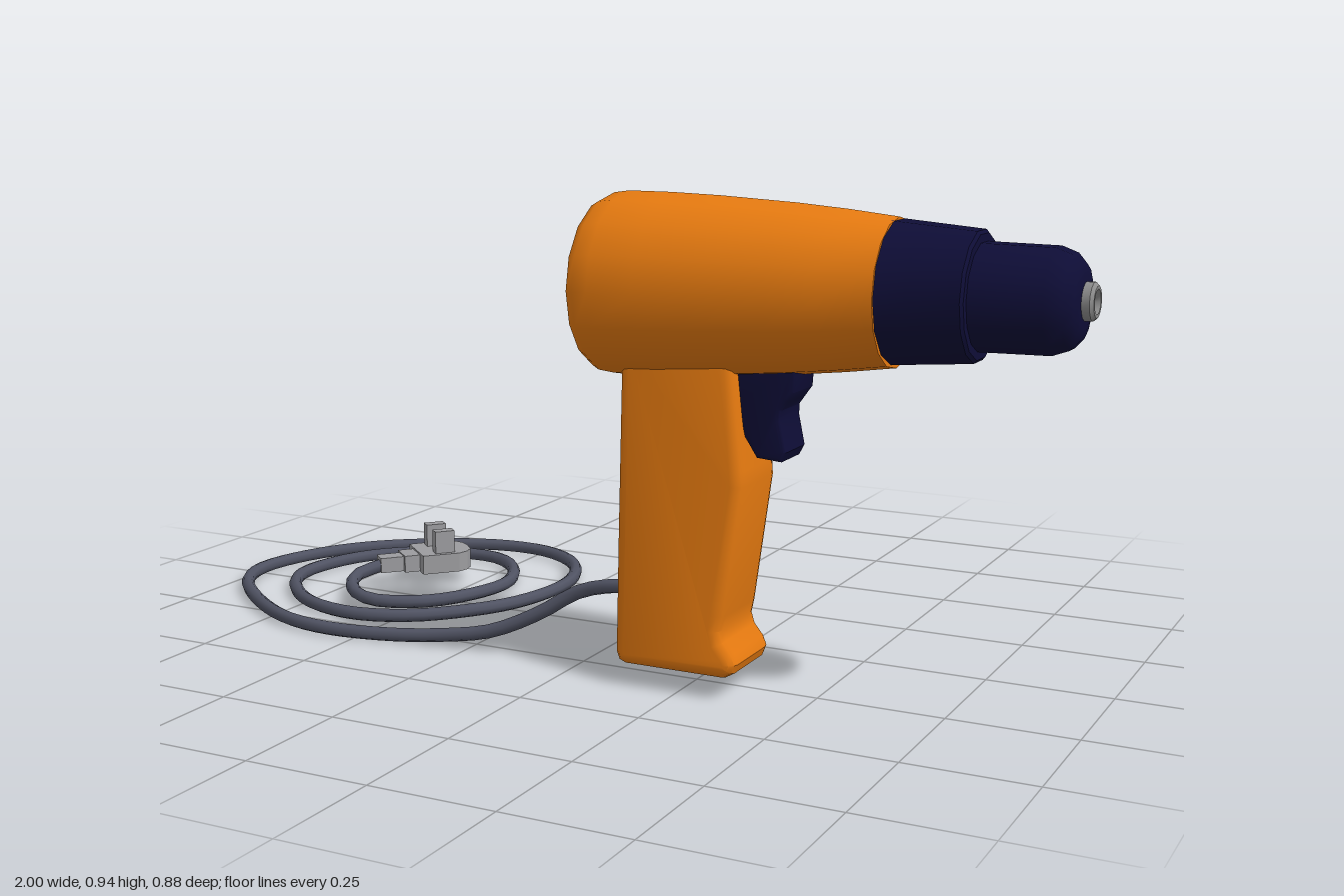
import * as THREE from 'three';
import { toCreasedNormals } from 'three/addons/utils/BufferGeometryUtils.js';

const material = (name, color) => Object.assign(new THREE.MeshStandardMaterial({ color }), { name });

export function createModel() {
  const orange = material('orange plastic', 0xe67a10);
  const navy = material('navy plastic', 0x0e0d36);
  const cordGrey = material('cord grey', 0x505363);
  const plugGrey = material('plug grey', 0x9c9c9f);
  const steel = material('steel', 0x8c8c8c);

  const model = new THREE.Group();
  const AXIS_Z = 0.262;

  function add(name, geometry, mat, parent = model) {
    const mesh = new THREE.Mesh(geometry, mat);
    mesh.name = name;
    parent.add(mesh);
    return mesh;
  }

  // Turned part along x, from [x, radius] pairs
  function turned(profile, sides, y) {
    const g = new THREE.LatheGeometry(profile.map(([x, r]) => new THREE.Vector2(r, x)), sides);
    g.rotateZ(-Math.PI / 2);
    g.translate(0, y, AXIS_Z);
    return toCreasedNormals(g, 0.65);
  }

  // Side outline in x and y, extruded across z with rounded edges
  function slab(points, width, bevel) {
    const shape = new THREE.Shape(points.map(([x, y]) => new THREE.Vector2(x, y)));
    const g = new THREE.ExtrudeGeometry(shape, {
      depth: width - 2 * bevel, bevelEnabled: true, bevelThickness: bevel,
      bevelSize: bevel, bevelOffset: -bevel, bevelSegments: 3,
    });
    g.translate(0, 0, -width / 2 + bevel);
    return g;
  }

  // Motor housing, with its centre line rising slightly to the front
  const housing = turned([
    [0.055, 0], [0.055, 0.148], [0.062, 0.162], [0.078, 0.171], [0.11, 0.175], [0.2, 0.173],
    [0.3, 0.168], [0.45, 0.157], [0.55, 0.147], [0.645, 0.135], [0.645, 0],
  ], 16, 0.765);
  const hp = housing.attributes.position;
  for (let i = 0; i < hp.count; i++) hp.setY(i, hp.getY(i) + 0.02 * (hp.getX(i) - 0.055));
  add('motorHousing', housing, orange);

  // Chuck collar and nose
  add('chuck', turned([
    [0.64, 0], [0.64, 0.131], [0.7, 0.126], [0.795, 0.118], [0.8, 0.112], [0.8, 0.097],
    [0.93, 0.095], [0.96, 0.084], [0.976, 0.066], [0.98, 0.045], [0.98, 0],
  ], 14, 0.779), navy);

  // Hollow steel tip
  add('chuckTip', turned([
    [0.97, 0.034], [0.994, 0.034], [1.0, 0.028], [1.0, 0.022], [0.986, 0.02], [0.986, 0],
  ], 14, 0.781), steel);

  // Grip, a little wider towards the foot
  const grip = slab([
    [0.13, 0.68], [0.122, 0.3], [0.118, 0.065], [0.125, 0.047], [0.14, 0.041], [0.345, 0.041],
    [0.364, 0.052], [0.371, 0.07], [0.363, 0.09], [0.345, 0.112], [0.339, 0.132], [0.345, 0.16],
    [0.381, 0.41], [0.379, 0.44], [0.352, 0.68],
  ], 0.166, 0.022);
  const gp = grip.attributes.position;
  for (let i = 0; i < gp.count; i++) gp.setZ(i, gp.getZ(i) * (1.06 - 0.1 * gp.getY(i)));
  grip.translate(0, 0, AXIS_Z);
  add('grip', toCreasedNormals(grip, 0.6), orange);

  // Trigger
  const trigger = slab([
    [0.35, 0.65], [0.472, 0.65], [0.468, 0.59], [0.455, 0.572], [0.443, 0.555], [0.442, 0.535],
    [0.454, 0.478], [0.444, 0.459], [0.396, 0.463], [0.372, 0.5], [0.35, 0.56],
  ], 0.1, 0.008);
  trigger.translate(0, 0, AXIS_Z);
  add('trigger', toCreasedNormals(trigger, 0.6), navy);

  // Cord sleeve at the back of the grip
  const sleeve = new THREE.CylinderGeometry(0.033, 0.027, 0.035, 12);
  sleeve.rotateZ(-Math.PI / 2);
  sleeve.translate(0.115, 0.168, 0.25);
  add('cordSleeve', sleeve, cordGrey);

  // Cord: drops from the grip, coils inwards and rises to the plug
  const drop = [
    [0.12, 0.17, 0.25], [0.06, 0.163, 0.247], [-0.02, 0.138, 0.24], [-0.1, 0.088, 0.254],
    [-0.2, 0.043, 0.274], [-0.3, 0.025, 0.29],
  ];
  const coil = [
    [-0.42, 0.314], [-0.57, 0.335], [-0.7, 0.305], [-0.87, 0.19], [-0.955, 0.095], [-0.985, 0],
    [-0.955, -0.14], [-0.87, -0.27], [-0.7, -0.39], [-0.57, -0.43], [-0.46, -0.42], [-0.36, -0.355],
    [-0.3, -0.25], [-0.285, -0.14], [-0.31, -0.01], [-0.36, 0.08], [-0.46, 0.18], [-0.58, 0.22],
    [-0.71, 0.19], [-0.82, 0.1], [-0.87, 0.01], [-0.87, -0.08], [-0.83, -0.19], [-0.74, -0.28],
    [-0.63, -0.32], [-0.54, -0.315], [-0.46, -0.25], [-0.41, -0.13], [-0.44, 0], [-0.5, 0.08],
  ].map(([x, z]) => [x, 0.016, z]);
  const rise = [[-0.6, 0.018, 0.12], [-0.675, 0.025, 0.085], [-0.708, 0.036, 0.02], [-0.68, 0.048, -0.05]];
  const path = new THREE.CatmullRomCurve3(
    [...drop, ...coil, ...rise].map((p) => new THREE.Vector3(...p)), false, 'centripetal');
  add('cord', new THREE.TubeGeometry(path, 130, 0.0142, 8, false), cordGrey);

  // Plug lying on the coil, its pins pointing up
  const plug = new THREE.Group();
  plug.name = 'plug';
  plug.position.set(-0.69, 0, -0.04);
  plug.rotation.y = 0.85;
  model.add(plug);

  const outline = new THREE.Shape([
    [0.088, -0.06], [0.172, -0.062], [0.195, -0.05], [0.208, -0.03], [0.211, 0],
    [0.208, 0.03], [0.195, 0.05], [0.172, 0.062], [0.088, 0.06],
  ].map(([x, y]) => new THREE.Vector2(x, y)));
  const plugBody = new THREE.ExtrudeGeometry(outline, { depth: 0.043, bevelEnabled: false });
  plugBody.rotateX(-Math.PI / 2);
  plugBody.translate(0, 0.03, 0);
  add('plugBody', plugBody, plugGrey, plug);

  const block = (name, size, at) =>
    add(name, new THREE.BoxGeometry(...size), plugGrey, plug).position.set(...at);
  block('plugNeck', [0.06, 0.034, 0.04], [0.03, 0.049, 0]);
  block('plugShoulder', [0.04, 0.038, 0.062], [0.073, 0.05, 0]);
  for (const side of [-1, 1]) block('plugPin', [0.045, 0.055, 0.026], [0.143, 0.096, side * 0.036]);

  return model;
}
